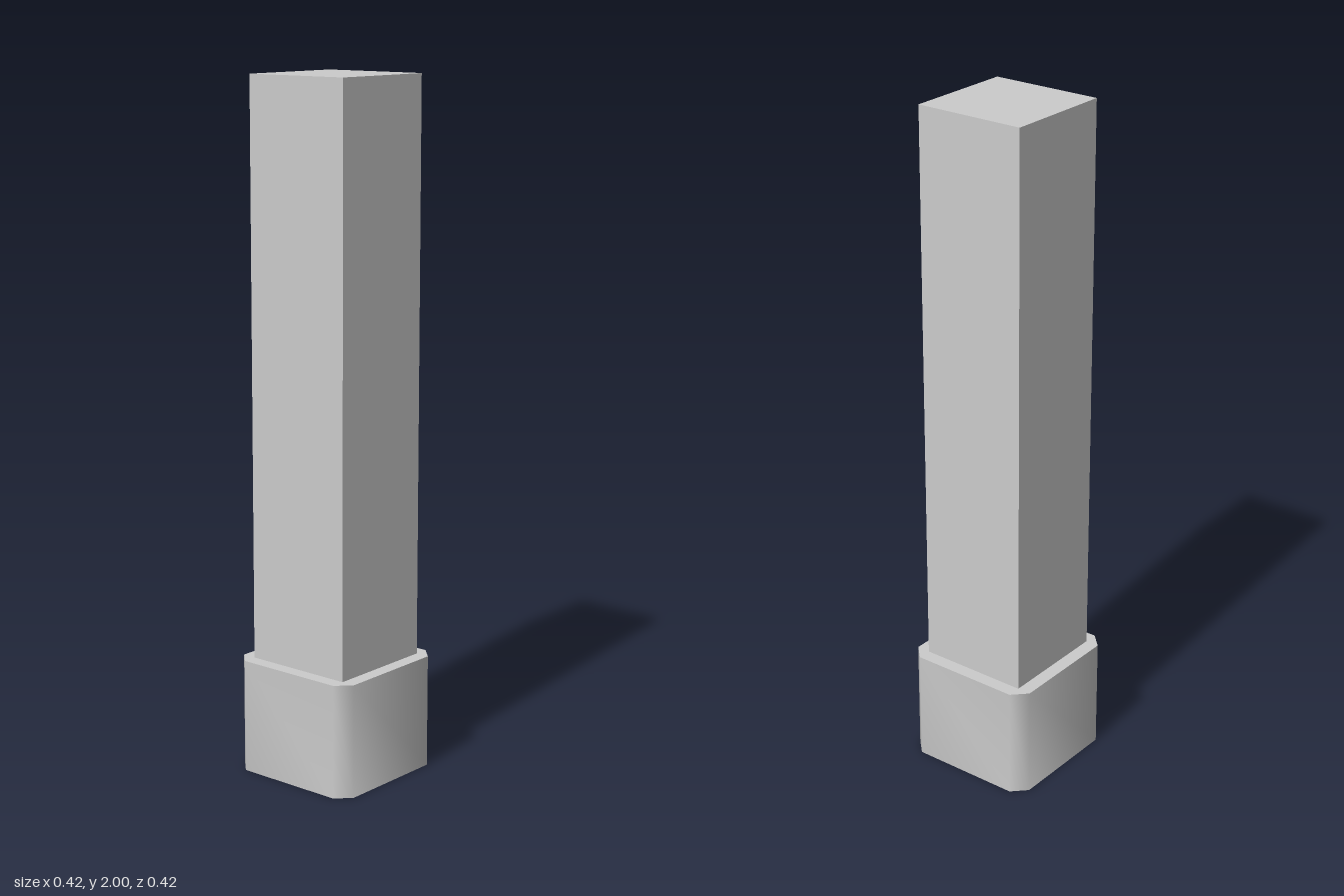
import * as THREE from 'three';
import { toCreasedNormals } from 'three/addons/utils/BufferGeometryUtils.js';

const HEIGHT = 2;
const BASE_HEIGHT = 0.333;
const POST_HALF = 0.167;
const BASE_HALF = 0.208;

export function createModel() {
  const group = new THREE.Group();
  group.name = 'post';
  const material = new THREE.MeshStandardMaterial({ color: 0xcccccc });

  // Square base with cut corners, shaded smoothly around its sides
  const a = BASE_HALF, b = POST_HALF;
  const outline = new THREE.Shape(
    [[a, -b], [a, b], [b, a], [-b, a], [-a, b], [-a, -b], [-b, -a], [b, -a]]
      .map(([x, y]) => new THREE.Vector2(x, y))
  );
  const baseGeometry = new THREE.ExtrudeGeometry(outline, { depth: BASE_HEIGHT, bevelEnabled: false });
  baseGeometry.rotateX(-Math.PI / 2);
  const base = new THREE.Mesh(toCreasedNormals(baseGeometry, Math.PI / 3), material);
  base.name = 'base';
  group.add(base);

  // Plain square shaft standing on the base
  const shaftHeight = HEIGHT - BASE_HEIGHT;
  const shaft = new THREE.Mesh(new THREE.BoxGeometry(POST_HALF * 2, shaftHeight, POST_HALF * 2), material);
  shaft.name = 'shaft';
  shaft.position.y = BASE_HEIGHT + shaftHeight / 2;
  group.add(shaft);

  return group;
}
